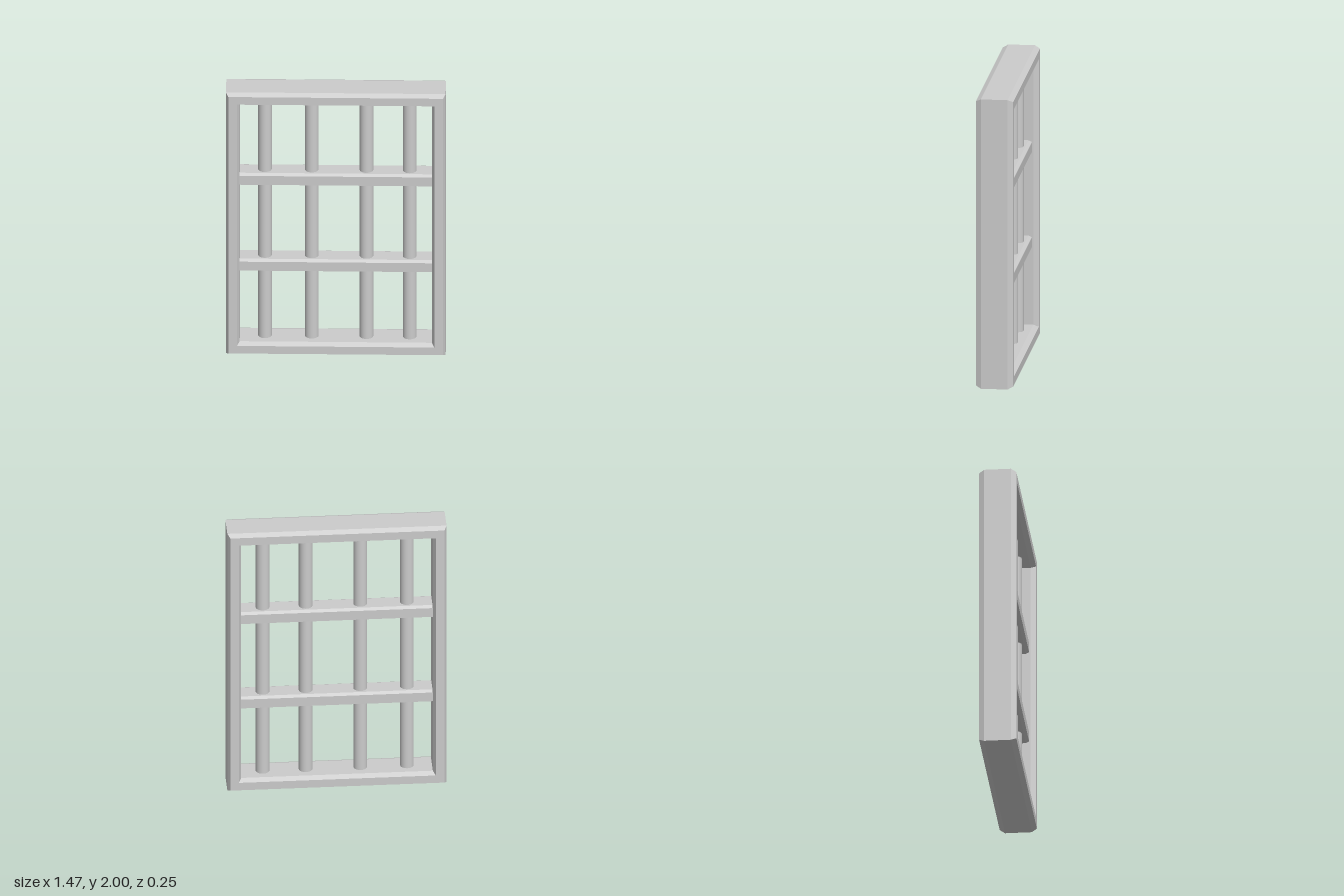
import * as THREE from 'three';

const material = new THREE.MeshStandardMaterial({ color: 0xcccccc });

// Traces a rectangle on a shape or path.
function rect(path, x0, y0, x1, y1) {
  path.moveTo(x0, y0);
  path.lineTo(x1, y0);
  path.lineTo(x1, y1);
  path.lineTo(x0, y1);
  path.closePath();
  return path;
}

// Rectangular frame, chamfered on outer and inner edges, front and back.
function frameGeometry() {
  const shape = rect(new THREE.Shape(), -0.718, 0.017, 0.718, 1.983);
  shape.holes.push(rect(new THREE.Path(), -0.66, 0.075, 0.66, 1.925));
  const geometry = new THREE.ExtrudeGeometry(shape, {
    depth: 0.18, bevelEnabled: true, bevelSize: 0.017, bevelThickness: 0.035, bevelSegments: 1,
  });
  return geometry.translate(0, 0, -0.09);
}

// Horizontal rail with an eight-sided chamfered section, running along x.
function railGeometry(length, height, depth, chamferY, chamferZ) {
  const h = height / 2, d = depth / 2;
  const section = new THREE.Shape([
    [-d, -h + chamferY], [-d + chamferZ, -h], [d - chamferZ, -h], [d, -h + chamferY],
    [d, h - chamferY], [d - chamferZ, h], [-d + chamferZ, h], [-d, h - chamferY],
  ].map(([x, y]) => new THREE.Vector2(x, y)));
  const geometry = new THREE.ExtrudeGeometry(section, { depth: length, bevelEnabled: false });
  return geometry.translate(0, 0, -length / 2).rotateY(Math.PI / 2);
}

export function createModel() {
  const group = new THREE.Group();
  group.name = 'barredWindow';

  const add = (name, geometry, x, y) => {
    const mesh = new THREE.Mesh(geometry, material);
    mesh.name = name;
    mesh.position.set(x, y, 0);
    group.add(mesh);
  };

  add('frame', frameGeometry(), 0, 0);

  // Two crossing rails
  const rail = railGeometry(1.298, 0.092, 0.16, 0.012, 0.022);
  add('lowerRail', rail, 0, 0.662);
  add('upperRail', rail, 0, 1.32);

  // Four unevenly spaced round bars
  const bar = new THREE.CylinderGeometry(0.046, 0.046, 1.83, 32, 1, true);
  [-0.475, -0.162, 0.204, 0.493].forEach((x, i) => add(`uprightBar${i + 1}`, bar, x, 1));

  return group;
}
